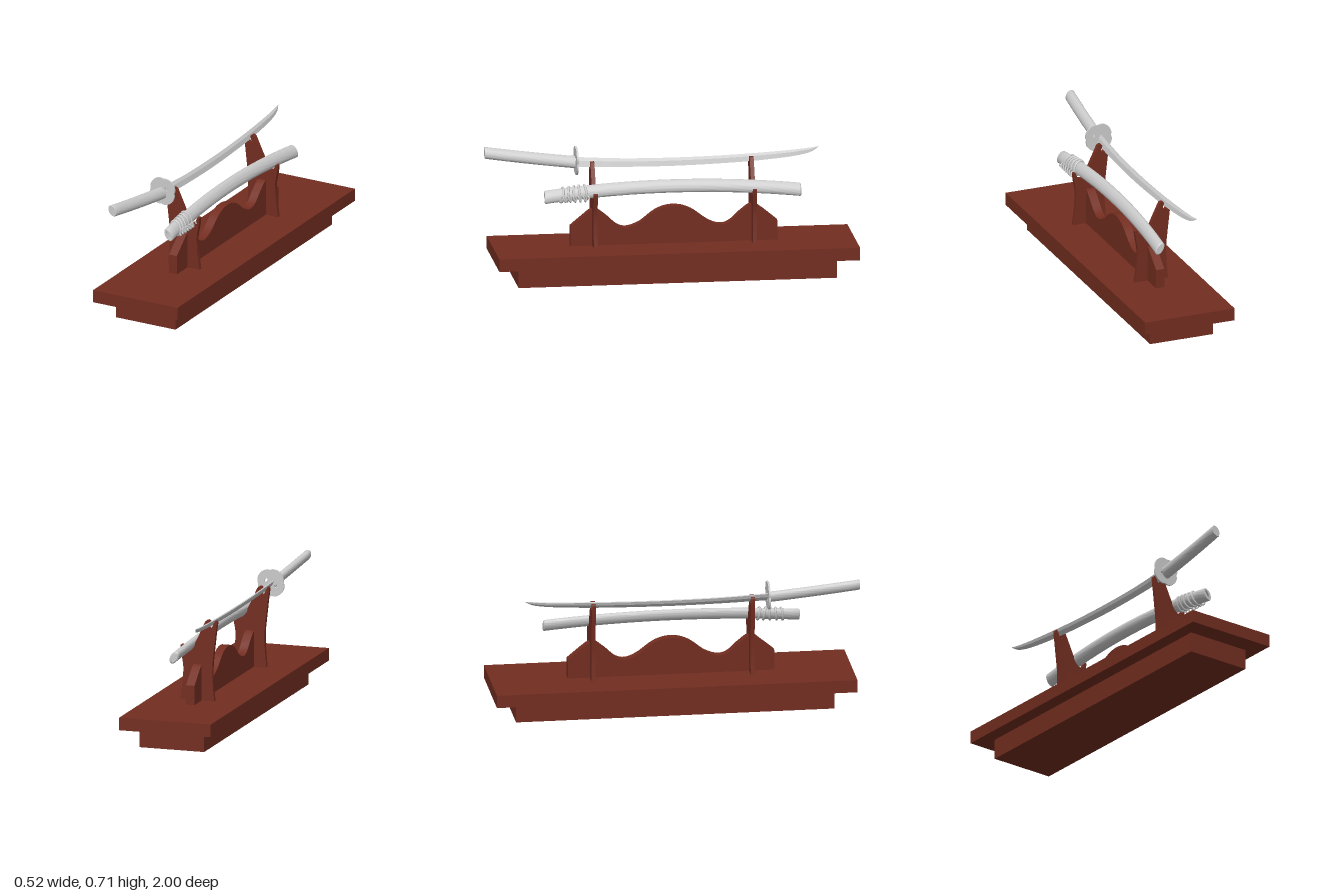
import * as THREE from 'three';
import { toCreasedNormals } from 'three/addons/utils/BufferGeometryUtils.js';

const wood = new THREE.MeshStandardMaterial({ color: 0x732d20 });
const grey = new THREE.MeshStandardMaterial({ color: 0xcccccc });

// Both swords lean: U runs from cutting edge to spine, V across the thickness
const U = new THREE.Vector3(-0.5, 0.866, 0);
const V = new THREE.Vector3(0.866, 0.5, 0);
const place = (o, p, q, z) =>
  new THREE.Vector3(o[0], o[1], z).addScaledVector(U, p).addScaledVector(V, q);

const SWORD = [-0.085, 0.61];
const SHEATH = [0.05, 0.468];
const sheathRise = (z) => 0.041 * (1 - (z / 0.69) ** 2);

function add(parent, name, geometry, material) {
  const mesh = new THREE.Mesh(geometry, material);
  mesh.name = name;
  parent.add(mesh);
  return mesh;
}

// Skin rings of points running from -z to +z, capped at both ends
function loft(rings, crease = 0.7) {
  const n = rings[0].length;
  const points = rings.flat();
  const index = [];
  for (let i = 0; i < rings.length - 1; i++) {
    for (let j = 0; j < n; j++) {
      const k = (j + 1) % n;
      const a = i * n + j, b = i * n + k, c = b + n, d = a + n;
      index.push(a, b, c, a, c, d);
    }
  }
  const last = (rings.length - 1) * n;
  for (let j = 1; j < n - 1; j++) {
    index.push(0, j + 1, j, last, last + j, last + j + 1);
  }
  const g = new THREE.BufferGeometry().setFromPoints(points);
  g.setIndex(index);
  return toCreasedNormals(g, crease);
}

function ellipse(o, s, z, a, b, n = 32) {
  return Array.from({ length: n }, (_, i) => {
    const t = (i / n) * Math.PI * 2;
    return place(o, s + a * Math.sin(t), b * Math.cos(t), z);
  });
}

function box(parent, name, w, y0, y1, z0, z1) {
  const g = new THREE.BoxGeometry(w, y1 - y0, z1 - z0);
  g.translate(0, (y0 + y1) / 2, (z0 + z1) / 2);
  return add(parent, name, g, wood);
}

function buildStand() {
  const stand = new THREE.Group();
  stand.name = 'stand';
  box(stand, 'lowerBase', 0.37, 0, 0.113, -0.885, 0.855);
  box(stand, 'upperBase', 0.524, 0.113, 0.183, -1, 0.97);

  // Wavy board along the middle, drawn in z and y
  const wave = new THREE.Shape();
  wave.moveTo(-0.58, 0.183);
  wave.lineTo(-0.58, 0.29);
  wave.lineTo(-0.505, 0.352);
  wave.splineThru([[-0.445, 0.386], [-0.38, 0.345], [-0.32, 0.292], [-0.265, 0.278],
    [-0.2, 0.302], [-0.12, 0.36], [-0.06, 0.385], [0, 0.39], [0.05, 0.38], [0.1, 0.355],
    [0.17, 0.302], [0.24, 0.278], [0.295, 0.292], [0.355, 0.345], [0.42, 0.386],
    [0.475, 0.352]].map(([x, y]) => new THREE.Vector2(x, y)));
  wave.lineTo(0.55, 0.29);
  wave.lineTo(0.55, 0.183);
  const board = new THREE.ExtrudeGeometry(wave, { depth: 0.048, bevelEnabled: false, curveSegments: 4 });
  board.rotateY(-Math.PI / 2).translate(0.023, 0, 0);
  add(stand, 'centreBoard', toCreasedNormals(board, 0.5), wood);

  // Two posts, each with a slot for the blade and a cradle for the sheath
  const post = new THREE.Shape();
  post.moveTo(-0.097, 0.183);
  post.bezierCurveTo(-0.085, 0.29, -0.083, 0.36, -0.09, 0.42);
  post.lineTo(-0.106, 0.565);
  post.lineTo(-0.113, 0.615);
  post.quadraticCurveTo(-0.112, 0.634, -0.1, 0.628);
  post.lineTo(-0.084, 0.592);
  post.quadraticCurveTo(-0.073, 0.575, -0.066, 0.598);
  post.lineTo(-0.074, 0.622);
  post.quadraticCurveTo(-0.062, 0.642, -0.045, 0.622);
  post.lineTo(0.005, 0.515);
  post.lineTo(0.028, 0.47);
  post.quadraticCurveTo(0.055, 0.43, 0.077, 0.468);
  post.quadraticCurveTo(0.083, 0.496, 0.097, 0.482);
  post.bezierCurveTo(0.093, 0.42, 0.08, 0.4, 0.08, 0.35);
  post.quadraticCurveTo(0.082, 0.29, 0.097, 0.183);
  const geo = toCreasedNormals(
    new THREE.ExtrudeGeometry(post, { depth: 0.022, bevelEnabled: false, curveSegments: 10 }), 0.5);
  for (const [name, z] of [['frontPost', 0.421], ['backPost', -0.449]]) {
    add(stand, name, geo, wood).position.z = z - 0.011;
  }
  return stand;
}

function buildSword() {
  const sword = new THREE.Group();
  sword.name = 'sword';

  // Blade: z, spine height, edge height
  const outline = new THREE.CatmullRomCurve3([
    [-0.825, 0.663, 0.662], [-0.79, 0.658, 0.64], [-0.72, 0.651, 0.623], [-0.5, 0.639, 0.603],
    [-0.25, 0.631, 0.593], [0, 0.629, 0.589], [0.25, 0.633, 0.592], [0.51, 0.647, 0.6],
  ].map((p) => new THREE.Vector3(...p)));
  const blade = outline.getPoints(49).map(({ x: z, y, z: low }) => {
    const top = (y - SWORD[1]) / U.y, edge = (low - SWORD[1]) / U.y;
    const ridge = edge + (top - edge) * 0.6;
    const w = Math.min(0.0065, (top - edge) * 0.2);
    return [[ridge, w], [top, w * 0.5], [top, -w * 0.5], [ridge, -w], [edge, 0]]
      .map(([p, q]) => place(SWORD, p, q, z));
  });
  add(sword, 'blade', loft(blade, 0.3), grey);

  // Handle with softly rounded butt
  const handle = [];
  for (let i = 0; i <= 12; i++) {
    const t = i / 12;
    handle.push(ellipse(SWORD, 0.015 + 0.058 * t + 0.01 * t * t, 0.51 + 0.485 * t,
      0.034 - 0.001 * t, 0.023));
  }
  handle.push(ellipse(SWORD, 0.084, 1, 0.031, 0.021));
  add(sword, 'handle', loft(handle), grey);

  // Four-lobed guard with two small openings
  const guard = new THREE.Shape();
  for (let i = 0; i < 96; i++) {
    const t = (i / 96) * Math.PI * 2;
    const r = 0.069 + 0.012 * Math.sqrt(Math.abs(Math.cos(2 * (t - 0.7))));
    guard[i ? 'lineTo' : 'moveTo'](r * Math.cos(t), r * Math.sin(t));
  }
  for (const side of [-1, 1]) {
    const hole = new THREE.Path();
    hole.absellipse(0.031 * V.x * side, 0.031 * V.y * side, 0.007, 0.011, 0, Math.PI * 2, true, Math.PI / 6);
    guard.holes.push(hole);
  }
  const g = new THREE.ExtrudeGeometry(guard, { depth: 0.01, bevelEnabled: false, curveSegments: 12 });
  g.translate(-0.09, 0.632, 0.5);
  add(sword, 'guard', toCreasedNormals(g, 0.6), grey);
  return sword;
}

function buildSheath() {
  const sheath = new THREE.Group();
  sheath.name = 'sheath';

  // Bowed oval body with a rounded tip and a narrow open mouth
  const rings = [ellipse(SHEATH, sheathRise(0.7), -0.705, 0.031, 0.017)];
  for (let i = 0; i <= 32; i++) {
    const z = -0.7 + (1.39 * i) / 32;
    rings.push(ellipse(SHEATH, sheathRise(z), z, 0.037, 0.022));
  }
  rings.push(ellipse(SHEATH, 0, 0.695, 0.034, 0.019));
  rings.push(ellipse(SHEATH, 0, 0.695, 0.026, 0.007));
  rings.push(ellipse(SHEATH, 0, 0.65, 0.026, 0.007));
  add(sheath, 'sheathBody', loft(rings), grey);

  // Cord wound around the sheath, slightly slanted per turn
  for (let k = 0; k < 5; k++) {
    const z = 0.47 + k * 0.032;
    const path = ellipse(SHEATH, sheathRise(z), z, 0.04, 0.025, 20);
    path.forEach((p, i) => { p.z += 0.006 * Math.sin((i / 20) * Math.PI * 2 + k); });
    const curve = new THREE.CatmullRomCurve3(path, true);
    add(sheath, 'cordTurn', new THREE.TubeGeometry(curve, 40, 0.0065, 8, true), grey);
  }

  // Looped cord hanging along the outer lower side
  const loops = [];
  for (let i = 0; i <= 48; i++) {
    const t = (i / 48) * Math.PI * 12;
    const z = 0.455 + 0.165 * (i / 48);
    loops.push(new THREE.Vector3(0.082 + 0.008 * Math.cos(t), 0.459 + 0.015 * Math.sin(t), z));
  }
  add(sheath, 'cordLoops',
    new THREE.TubeGeometry(new THREE.CatmullRomCurve3(loops), 160, 0.0045, 6), grey);
  return sheath;
}

export function createModel() {
  const model = new THREE.Group();
  model.name = 'swordDisplay';
  model.add(buildStand(), buildSword(), buildSheath());
  return model;
}
